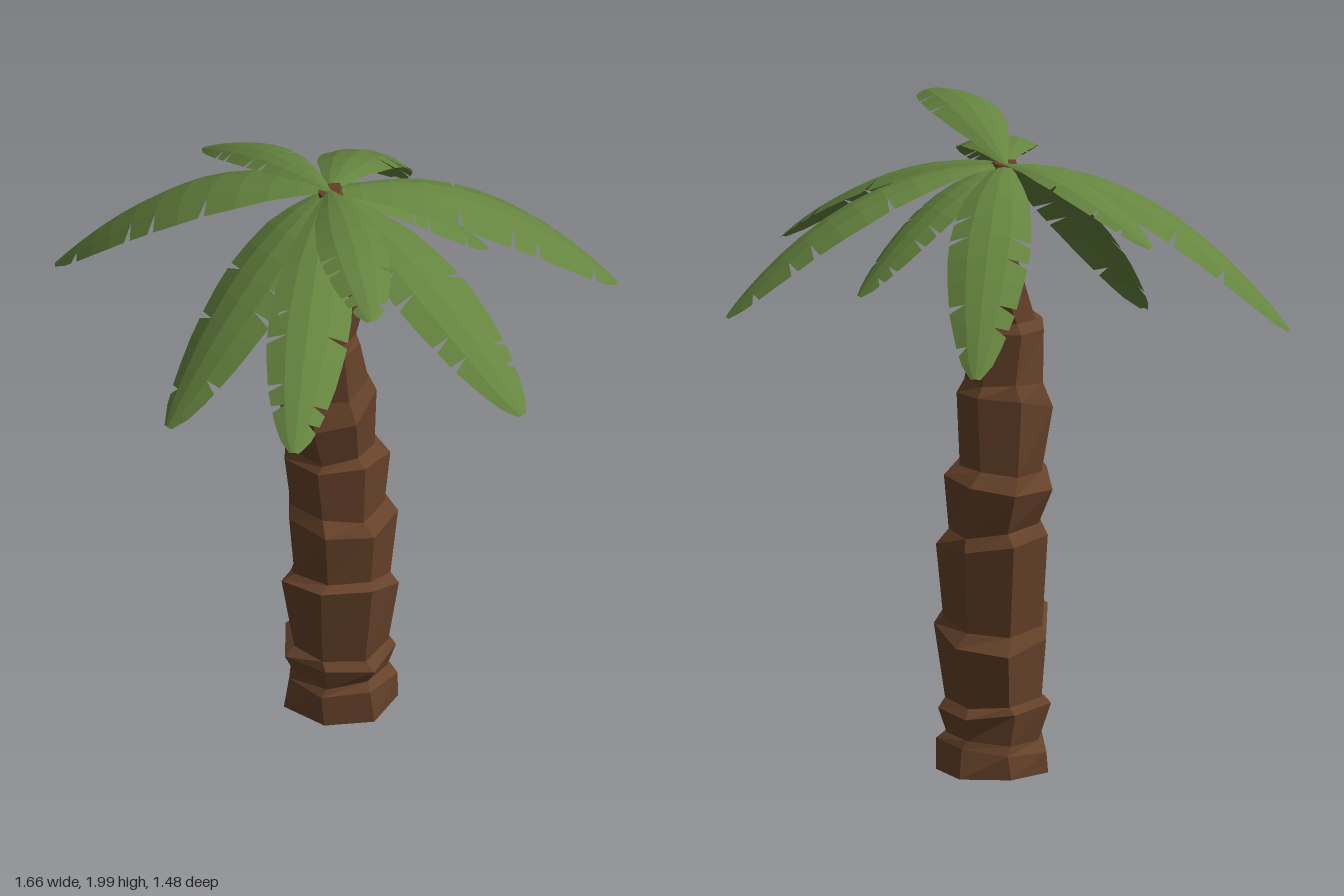
import * as THREE from 'three';

const V = (x, y, z) => new THREE.Vector3(x, y, z);

// Flat-shaded mesh from a list of triangle corners
function facetMesh(name, points, color, side) {
  const geometry = new THREE.BufferGeometry().setFromPoints(points);
  geometry.computeVertexNormals();
  const mesh = new THREE.Mesh(geometry, new THREE.MeshStandardMaterial({ color, flatShading: true, side }));
  mesh.name = name;
  return mesh;
}

const quad = (out, a, b, c, d) => out.push(a, b, c, a, c, d);

// Trunk rings: y, radius, centre x, centre z, slope along x, slope along z
const RINGS = [
  [0, 0.178, 0, -0.075, 0, 0],
  [0.09, 0.168, 0, -0.073, 0.12, 0.05],
  [0.115, 0.148, 0, -0.073, 0.1, 0.05],
  [0.195, 0.174, 0, -0.065, -0.05, 0.05],
  [0.22, 0.148, 0, -0.065, -0.03, 0.05],
  [0.45, 0.184, 0.015, -0.06, 0.26, 0.3],
  [0.48, 0.15, 0.01, -0.06, 0.24, 0.26],
  [0.71, 0.174, 0.005, -0.068, -0.1, 0.05],
  [0.75, 0.146, 0, -0.065, -0.1, 0.05],
  [0.91, 0.164, -0.02, -0.068, 0.17, 0.1],
  [0.945, 0.13, -0.018, -0.058, 0.1, 0.05],
  [1.13, 0.152, -0.018, -0.035, -0.03, -0.3],
  [1.195, 0.12, -0.02, -0.04, -0.05, -0.1],
  [1.36, 0.116, -0.018, -0.018, -0.05, 0.05],
  [1.39, 0.09, -0.015, -0.028, -0.05, 0.05],
  [1.6, 0.08, 0.005, -0.09, -0.15, 0.5],
  [1.615, 0.055, 0.005, -0.085, -0.15, 0.4],
  [1.88, 0.042, -0.035, -0.07, 0, 0],
];

// Stacked flaring bark collars, seven-sided and uneven
function makeTrunk() {
  const sides = 7;
  const rings = RINGS.map(([y, r, cx, cz, sx, sz], i) =>
    Array.from({ length: sides }, (_, j) => {
      const a = (j / sides) * Math.PI * 2 + 0.2 + 0.06 * Math.sin(i * 1.7);
      const rad = r * (1 + 0.04 * Math.sin(i * 2.3 + j * 4.1));
      const x = rad * Math.cos(a), z = rad * Math.sin(a);
      const wobble = i === 0 ? 0 : 0.008 * Math.sin(Math.floor((i + 1) / 2) * 3.1 + j * 2.4);
      return V(cx + x, y + sx * x + sz * z + wobble, cz + z);
    }));
  const tri = [];
  for (let i = 0; i < rings.length - 1; i++) {
    for (let j = 0; j < sides; j++) {
      const k = (j + 1) % sides;
      quad(tri, rings[i][k], rings[i][j], rings[i + 1][j], rings[i + 1][k]);
    }
  }
  // End caps
  const first = rings[0], last = rings[rings.length - 1];
  for (let j = 1; j < sides - 1; j++) {
    tri.push(first[0], first[j], first[j + 1], last[0], last[j + 1], last[j]);
  }
  return facetMesh('trunk', tri, 0x66422a, THREE.FrontSide);
}

const CROWN = V(-0.04, 1.88, -0.07);

// Half width of a frond along its length
const PROFILE = [[0, 0.012], [0.12, 0.05], [0.3, 0.1], [0.5, 0.125], [0.65, 0.122], [0.8, 0.1], [0.9, 0.072], [0.97, 0.042], [1, 0.015]];
function halfWidth(t) {
  const i = Math.max(1, PROFILE.findIndex(p => p[0] >= t));
  const [t0, w0] = PROFILE[i - 1], [t1, w1] = PROFILE[i];
  return THREE.MathUtils.mapLinear(t, t0, t1, w0, w1);
}

// Fronds: tip, arch height (y of control point), control distance, width scale, roll
const FRONDS = [
  { tip: [0.56, 1.94, 0.38], arch: 2.06, reach: 0.5, width: 0.85, roll: 0 },
  { tip: [0.57, 1.64, 0.73], arch: 1.93, reach: 0.55, width: 1, roll: 0 },
  { tip: [0.83, 1.52, 0.0], arch: 1.88, reach: 0.5, width: 1.03, roll: 0 },
  { tip: [0.52, 1.46, -0.74], arch: 1.91, reach: 0.55, width: 1, roll: 0 },
  { tip: [0.18, 1.53, -0.53], arch: 1.86, reach: 0.45, width: 0.8, roll: 0 },
  { tip: [-0.39, 1.39, -0.73], arch: 1.89, reach: 0.5, width: 1, roll: 0 },
  { tip: [-0.62, 1.71, -0.13], arch: 1.92, reach: 0.5, width: 0.62, roll: 0 },
  { tip: [-0.83, 1.4, 0.3], arch: 1.91, reach: 0.52, width: 1.03, roll: 0 },
  { tip: [-0.1, 1.31, 0.58], arch: 1.83, reach: 0.4, width: 1.03, roll: 0 },
];

// Arched blade folded along its vein, with torn slits in the outer half
function makeFrond({ tip, arch, reach, width, roll }, index) {
  const end = V(...tip);
  const control = CROWN.clone().lerp(end, reach).setY(arch);
  const curve = new THREE.QuadraticBezierCurve3(CROWN, control, end);
  const flat = V(end.x - CROWN.x, 0, end.z - CROWN.z).normalize();
  const across = V(-flat.z, 0, flat.x);

  // Point on the blade: t along the vein, s from -1 (one edge) to 1 (other edge)
  const at = (t, s) => {
    t = Math.min(t, 1);
    const along = curve.getTangent(t);
    const side = across.clone().applyAxisAngle(along, roll);
    const up = side.clone().cross(along).normalize();
    const w = halfWidth(t) * width;
    return curve.getPoint(t)
      .addScaledVector(side, s * w)
      .addScaledVector(up, -0.28 * w * s * s);
  };

  const stops = [0, 0.1, 0.2, 0.31, 0.42, 0.52, 0.61, 0.7, 0.78, 0.85, 0.91, 0.96, 1];
  const tri = [];
  for (const s of [-1, 1]) {
    for (let i = 0; i < stops.length - 1; i++) {
      const a = stops[i], b = stops[i + 1];
      // Slits alternate between the two edges, varied by frond
      const torn = i > 3 && i < 11 && (i + index + (s > 0 ? 1 : 0)) % 3 !== 0 && (i * 5 + index) % 4 !== 0;
      const gap = torn ? 0.022 : 0;
      const inner = [at(a, 0), at(a, s * 0.5), at(b, s * 0.5), at(b, 0)];
      const outer = [at(a, s * 0.5), at(a + gap, s), at(b, s), at(b, s * 0.5)];
      for (const q of [inner, outer]) quad(tri, ...(s > 0 ? q.reverse() : q));
    }
  }
  return facetMesh('frond', tri, 0x668540, THREE.DoubleSide);
}

export function createModel() {
  const palm = new THREE.Group();
  palm.name = 'palmTree';
  const fronds = new THREE.Group();
  fronds.name = 'fronds';
  FRONDS.forEach((f, i) => fronds.add(makeFrond(f, i)));
  palm.add(makeTrunk(), fronds);
  return palm;
}
